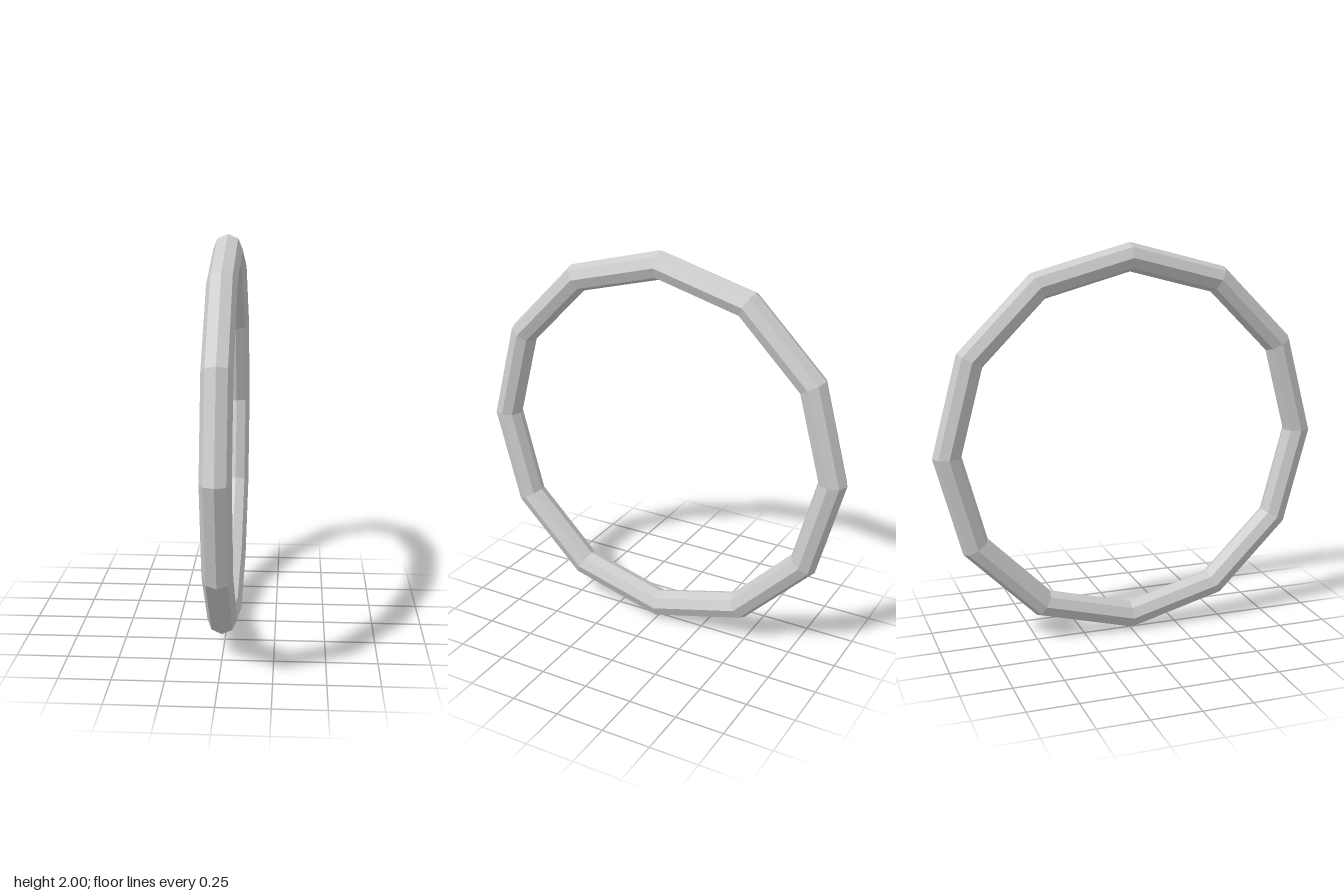
import * as THREE from 'three';

const TUBE = 0.0714; // radius of the octagonal section
const RING = 1 - TUBE; // radius of the centre line

export function createModel() {
  const model = new THREE.Group();
  model.name = 'ringModel';

  // Upright twelve-sided ring with an octagonal section, its axis along x
  const geometry = new THREE.TorusGeometry(RING, TUBE, 8, 12);
  geometry.rotateY(Math.PI / 2);
  const material = new THREE.MeshStandardMaterial({ color: 0xcccccc, flatShading: true });
  const ring = new THREE.Mesh(geometry, material);
  ring.name = 'ring';
  ring.position.y = 1;
  model.add(ring);

  return model;
}
